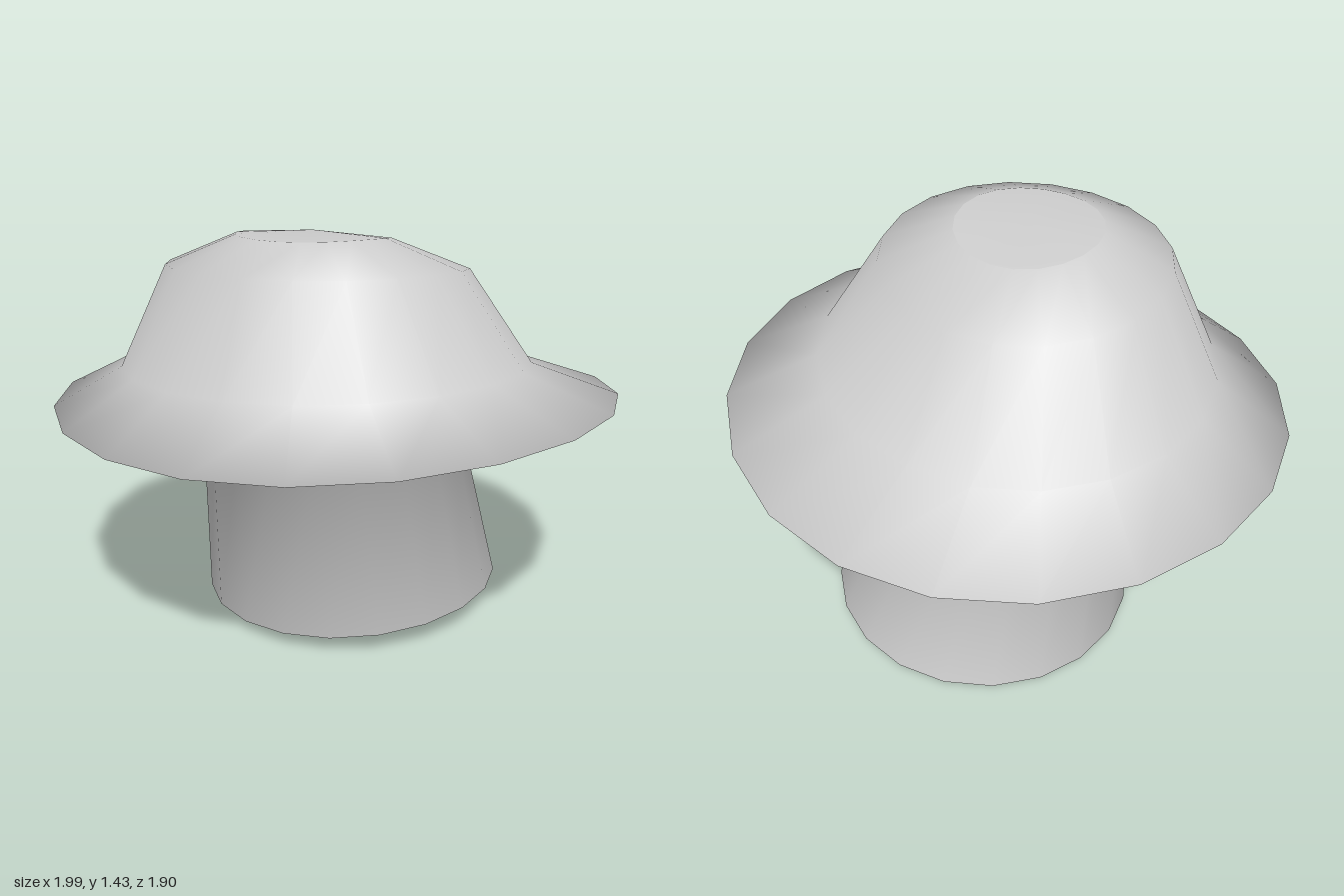
import * as THREE from 'three';

const SIDES = 20;

// Each ring: left/right x extents, front/back z extents, and the height at those four points.
// [xMin, xMax, zFront, zBack, yAtXMin, yAtXMax, yFront, yBack]
const RINGS = [
  [-0.50, 0.49, 0.33, -0.64, 0.00, 0.06, 0.02, 0.02],   // base edge
  [-0.55, 0.55, 0.40, -0.71, 0.035, 0.10, 0.055, 0.06], // foot of the stem
  [-0.48, 0.47, 0.45, -0.45, 0.645, 0.70, 0.70, 0.63],  // top of the stem
  [-0.77, 0.75, 0.72, -0.74, 0.70, 0.77, 0.75, 0.67],   // underside of the brim
  [-1.00, 0.99, 0.95, -0.955, 0.81, 0.89, 0.835, 0.77], // brim edge
  [-0.72, 0.71, 0.73, -0.60, 0.94, 1.01, 1.00, 0.90],   // foot of the dome
  [-0.51, 0.51, 0.61, -0.35, 1.30, 1.33, 1.345, 1.255], // shoulder
  [-0.26, 0.26, 0.40, -0.09, 1.41, 1.42, 1.425, 1.375], // crown edge
];

// Point on a tilted, slightly warped ring
function ringPoint([x0, x1, zF, zB, yL, yR, yF, yB], j) {
  const a = (j / SIDES) * Math.PI * 2, c = Math.cos(a), s = Math.sin(a);
  const warp = (yL + yR - yF - yB) / 4;
  return [
    (x0 + x1) / 2 + ((x1 - x0) / 2) * c,
    (yL + yR + yF + yB) / 4 + ((yR - yL) / 2) * c + ((yF - yB) / 2) * s + warp * Math.cos(2 * a),
    (zF + zB) / 2 + ((zF - zB) / 2) * s,
  ];
}

function makeMesh(name, points, index, material) {
  const geometry = new THREE.BufferGeometry();
  geometry.setAttribute('position', new THREE.Float32BufferAttribute(points.flat(), 3));
  geometry.setIndex(index);
  geometry.computeVertexNormals();
  const mesh = new THREE.Mesh(geometry, material);
  mesh.name = name;
  return mesh;
}

// Fan closing a ring, facing up or down
function disc(name, ring, centreY, up, material) {
  const points = [], index = [];
  for (let j = 0; j < SIDES; j++) {
    points.push(ringPoint(ring, j));
    const k = (j + 1) % SIDES;
    index.push(SIDES, up ? k : j, up ? j : k);
  }
  points.push([(ring[0] + ring[1]) / 2, centreY, (ring[2] + ring[3]) / 2]);
  return makeMesh(name, points, index, material);
}

export function createModel() {
  const group = new THREE.Group();
  group.name = 'mushroom';
  const material = new THREE.MeshStandardMaterial({ color: 0xcccccc });

  // Stem, brim and dome as one smooth loft
  const points = [], index = [];
  RINGS.forEach((ring, i) => {
    for (let j = 0; j < SIDES; j++) {
      points.push(ringPoint(ring, j));
      if (i === RINGS.length - 1) continue;
      const k = (j + 1) % SIDES;
      const a = i * SIDES + j, b = i * SIDES + k;
      index.push(a, a + SIDES, b, a + SIDES, b + SIDES, b);
    }
  });
  group.add(makeMesh('stemAndCap', points, index, material));

  // Flat ends
  group.add(disc('base', RINGS[0], 0.03, false, material));
  group.add(disc('crown', RINGS[RINGS.length - 1], 1.43, true, material));
  return group;
}
